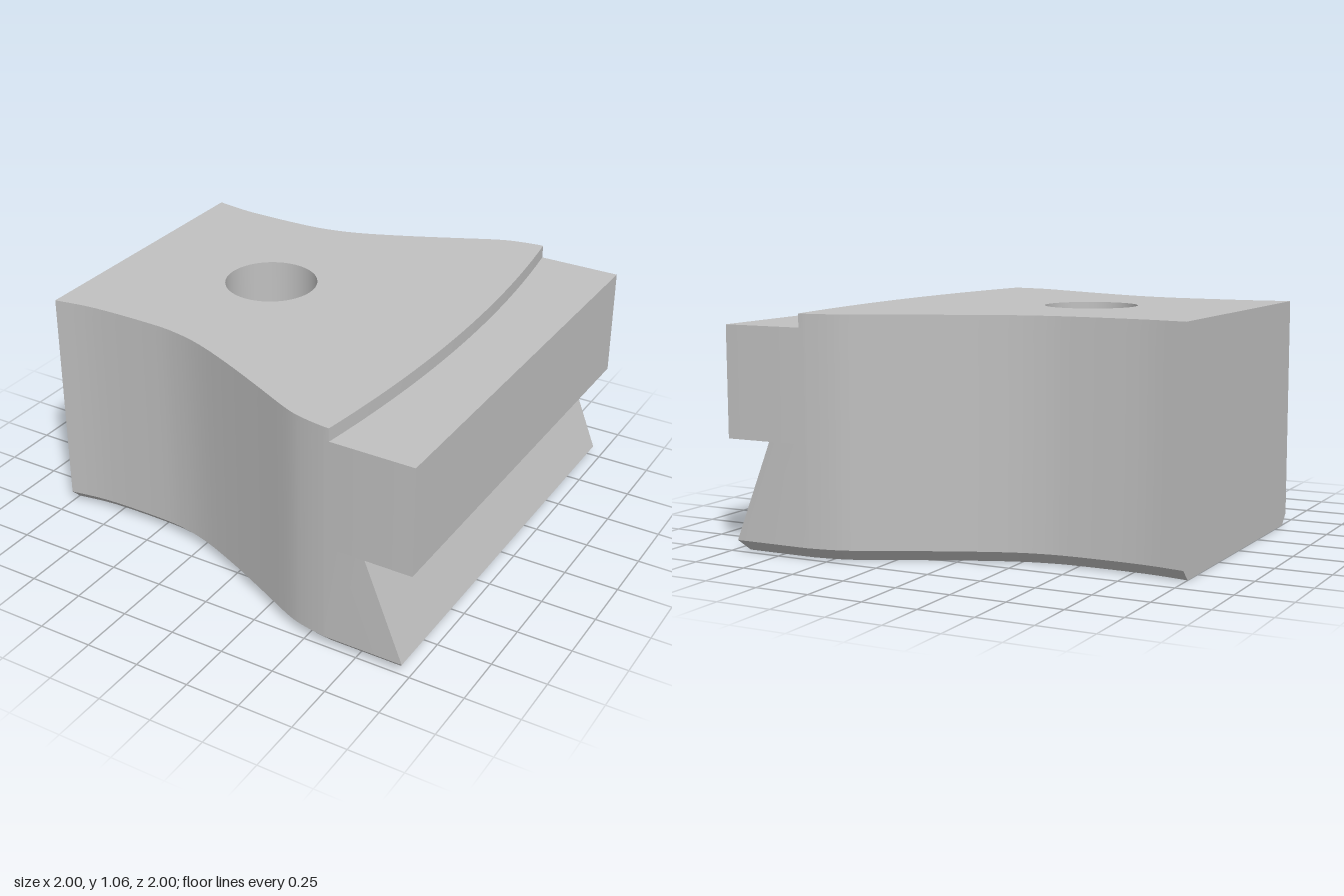
import * as THREE from 'three';
import { mergeGeometries, toCreasedNormals } from 'three/addons/utils/BufferGeometryUtils.js';

const V = (x, z) => new THREE.Vector2(x, z);

// Half-width of the waisted flank along x
const flank = new THREE.SplineCurve([
  V(-1, 0.66), V(-0.8, 0.632), V(-0.5, 0.63), V(-0.35, 0.645), V(-0.2, 0.685), V(0, 0.767),
  V(0.2, 0.86), V(0.4, 0.955), V(0.5, 0.985), V(0.6, 1),
]).getPoints(45);

// Closed outline seen from above: one flank, the front edge, the mirrored flank
function outline(inset, frontX) {
  const side = flank.map(p => V(p.x, p.y - inset));
  const front = [];
  for (let i = 0; i <= 24; i++) {
    const t = 1 - i / 12;
    front.push(V(frontX(t), t * (1 - inset)));
  }
  return [...side, ...front, ...side.map(p => V(p.x, -p.y)).reverse()];
}

function fromPositions(positions) {
  const g = new THREE.BufferGeometry();
  g.setAttribute('position', new THREE.Float32BufferAttribute(positions, 3));
  return g;
}

// Band of faces joining two outlines of equal length, skipping empty triangles
function band(a, ya, b, yb) {
  const out = [];
  const tri = new THREE.Triangle();
  const add = (...pts) => {
    tri.set(...pts);
    if (tri.getArea() > 1e-7) pts.forEach(p => out.push(p.x, p.y, p.z));
  };
  const at = (p, y) => new THREE.Vector3(p.x, y, p.y);
  a.forEach((p, i) => {
    const j = (i + 1) % a.length;
    add(at(p, ya), at(a[j], ya), at(b[j], yb));
    add(at(p, ya), at(b[j], yb), at(b[i], yb));
  });
  return fromPositions(out);
}

// Flat face closing an outline, facing up or down
function cap(points, y, up, hole) {
  const shape = new THREE.Shape(points);
  if (hole) shape.holes.push(new THREE.Path(hole));
  const g = new THREE.ShapeGeometry(shape).toNonIndexed();
  g.rotateX(up ? -Math.PI / 2 : Math.PI / 2).translate(0, y, 0);
  return fromPositions(g.attributes.position.array);
}

export function createModel() {
  const steel = new THREE.MeshStandardMaterial({ color: 0xc0c0c0 });
  steel.name = 'grey metal';

  // Levels from the bottom: chamfer, undercut slope, ledge, front face, step, curved lip
  const lip = t => 0.695 - 0.075 * t * t;
  const levels = [
    [0, 0.05, () => 0.935],
    [0.05, 0, () => 0.965],
    [0.5, 0, () => 0.785],
    [0.5, 0, () => 1],
    [1, 0, () => 1],
    [1, 0, lip],
    [1.06, 0, lip],
  ].map(([y, inset, frontX]) => ({ y, ring: outline(inset, frontX) }));

  // Blind round hole in the top
  const hole = [];
  for (let i = 0; i < 64; i++) {
    const a = (i / 64) * Math.PI * 2;
    hole.push(V(-0.28 + 0.21 * Math.cos(a), 0.21 * Math.sin(a)));
  }
  const floorY = 0.5;
  const top = levels[levels.length - 1];

  const parts = [
    cap(levels[0].ring, 0, false),
    cap(top.ring, top.y, true, hole),
    band(hole, floorY, hole, top.y),
    cap(hole, floorY, true),
  ];
  for (let i = 1; i < levels.length; i++) {
    parts.push(band(levels[i - 1].ring, levels[i - 1].y, levels[i].ring, levels[i].y));
  }

  const jaw = new THREE.Mesh(toCreasedNormals(mergeGeometries(parts), 0.5), steel);
  jaw.name = 'clampBlock';
  const group = new THREE.Group();
  group.name = 'clampJaw';
  group.add(jaw);
  return group;
}
